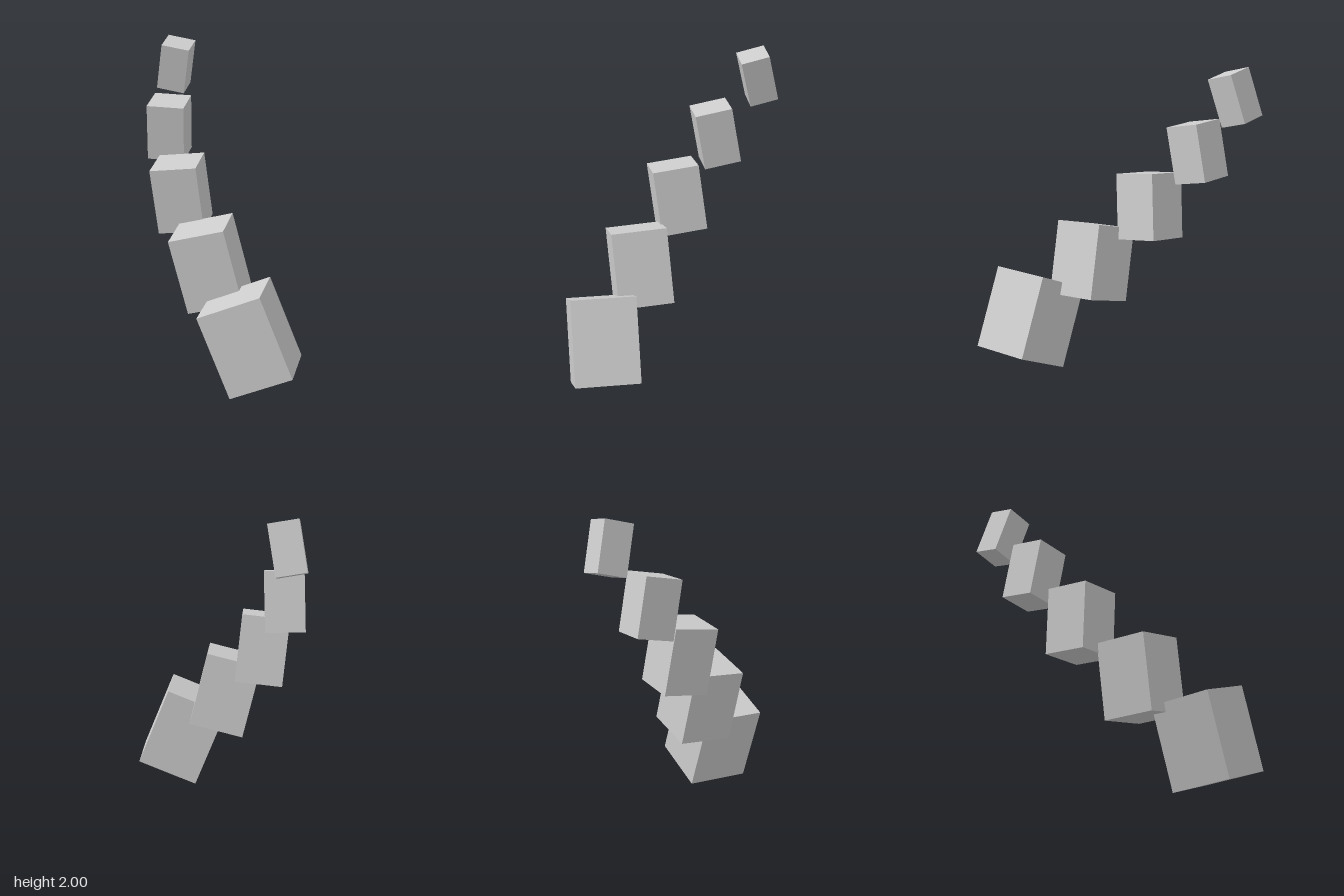
import * as THREE from 'three';

// A curving chain of five blocks, each smaller and tilted further than the last
export function createModel() {
  const group = new THREE.Group();
  group.name = 'blockChain';
  const grey = new THREE.MeshStandardMaterial({ color: 0xcccccc });
  grey.name = 'light grey';

  // Block centres from the base to the tip
  const centres = [
    [0.26, 0.333, 0.52],
    [-0.04, 0.703, 0.243],
    [-0.284, 1.073, -0.04],
    [-0.423, 1.443, -0.318],
    [-0.437, 1.815, -0.595],
  ];

  centres.forEach((centre, i) => {
    const width = 0.41 - 0.056 * i;
    const height = 0.54 - 0.057 * i;
    const block = new THREE.Mesh(new THREE.BoxGeometry(width, height, width), grey);
    block.name = `block${i + 1}`;
    block.position.set(...centre);
    // Pitch grows steadily while the sideways lean swings across
    block.rotation.set(
      THREE.MathUtils.degToRad(3.5 * i),
      0,
      THREE.MathUtils.degToRad(22 - 8 * i),
      'ZYX',
    );
    group.add(block);
  });
  return group;
}
